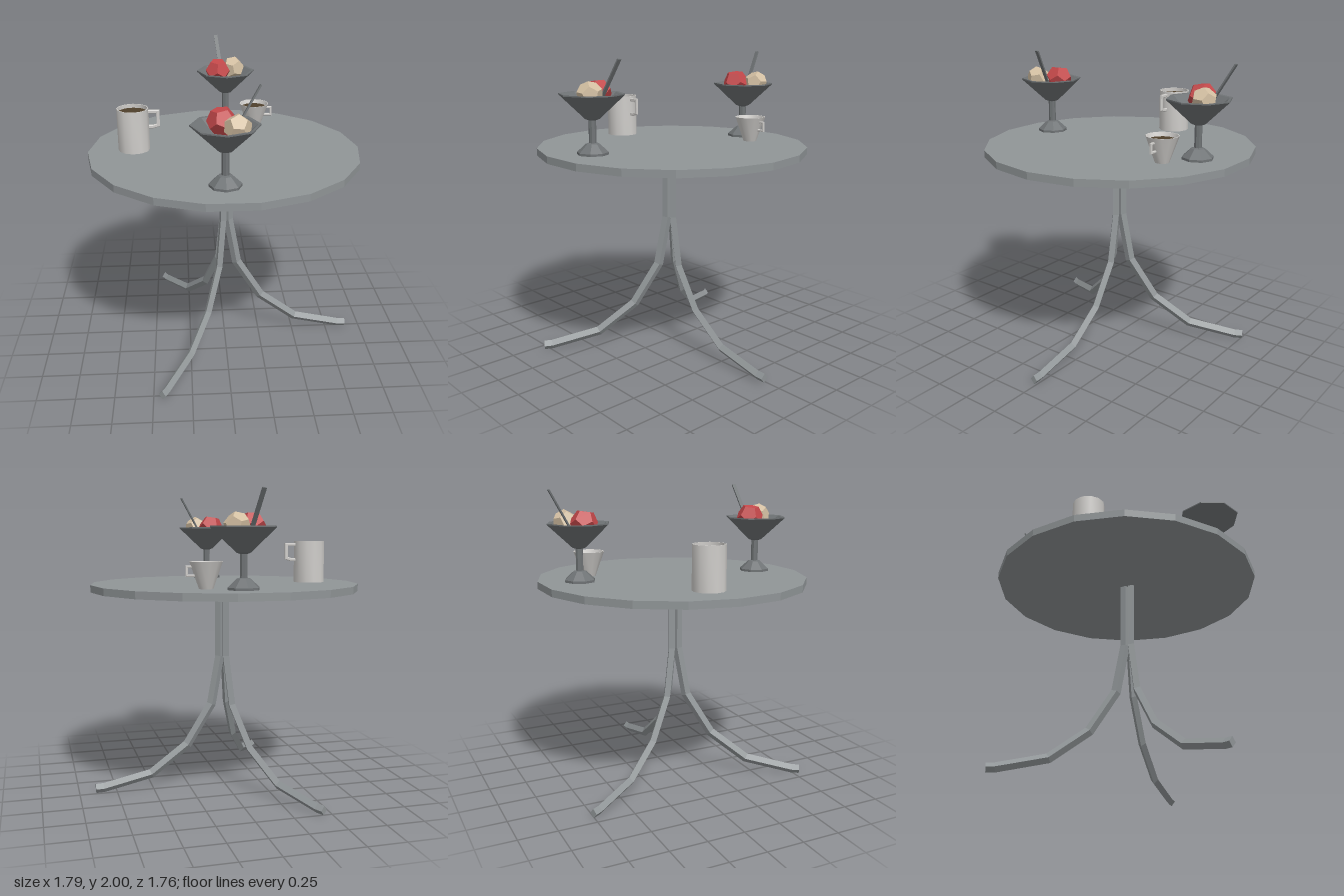
import * as THREE from 'three';
import { toCreasedNormals } from 'three/addons/utils/BufferGeometryUtils.js';

const mat = (name, color, extra = {}) => {
  const m = new THREE.MeshStandardMaterial({ color, ...extra });
  m.name = name;
  return m;
};

// Sweep a small section (u in plane, w along z) along a mitred path in the xy plane
function sweep(path, section) {
  const P = path.map(([x, y]) => new THREE.Vector2(x, y));
  const n = section.length, pos = [], idx = [];
  P.forEach((p, i) => {
    const a = P[Math.max(i - 1, 0)], b = P[Math.min(i + 1, P.length - 1)];
    const d0 = (i ? p.clone().sub(a) : b.clone().sub(p)).normalize();
    const d1 = (i < P.length - 1 ? b.clone().sub(p) : d0.clone()).normalize();
    const t = d0.clone().add(d1).normalize();
    const k = 1 / t.dot(d0);
    for (const [u, w] of section) pos.push(p.x - t.y * u * k, p.y + t.x * u * k, w);
  });
  for (let i = 0; i < P.length - 1; i++)
    for (let j = 0; j < n; j++) {
      const a = i * n + j, b = i * n + (j + 1) % n;
      idx.push(a, b, b + n, a, b + n, a + n);
    }
  const e = (P.length - 1) * n;
  for (let j = 1; j < n - 1; j++) idx.push(0, j + 1, j, e, e + j, e + j + 1);
  const g = new THREE.BufferGeometry();
  g.setAttribute('position', new THREE.Float32BufferAttribute(pos, 3));
  g.setIndex(idx);
  const flat = g.toNonIndexed();
  flat.computeVertexNormals();
  return flat;
}

const lathe = (pts, sides, crease) =>
  toCreasedNormals(new THREE.LatheGeometry(pts.map(p => new THREE.Vector2(...p)), sides), crease);

export function createModel() {
  const model = new THREE.Group();
  const metal = mat('table grey', 0x909597);
  const glass = mat('goblet grey', 0x6f7375);
  const china = mat('china white', 0xcfcdca);
  const coffee = mat('coffee brown', 0x4f402c);
  const red = mat('berry red', 0xc4484a);
  const cream = mat('vanilla cream', 0xd3bfa2);
  const TOP = 1.41;

  const add = (parent, name, geo, material, x = 0, y = 0, z = 0) => {
    const m = new THREE.Mesh(geo, material);
    m.name = name;
    m.position.set(x, y, z);
    parent.add(m);
    return m;
  };

  // Table top: 18 sides with a corner on +x
  const topGeo = new THREE.CylinderGeometry(0.896, 0.896, 0.047, 18).rotateY(Math.PI / 2);
  add(model, 'tableTop', toCreasedNormals(topGeo, 0.1), metal, 0, TOP - 0.0235, 0);

  // Three bent legs of diamond section
  const legGeo = sweep(
    [[0.025, 1.37], [0.025, 0.91], [0.085, 0.575], [0.257, 0.298], [0.51, 0.109], [0.835, 0.037], [0.89, 0.035]],
    [[0.032, 0], [0, 0.026], [-0.032, 0], [0, -0.026]]);
  for (let i = 0; i < 3; i++)
    add(model, 'leg', legGeo, metal, 0.002, 0, 0.015).rotation.y = i * Math.PI * 2 / 3;

  // Ice cream goblets, the second turned a quarter
  const gobletGeo = lathe([[0, 0], [0.1, 0], [0.1, 0.015], [0.043, 0.067], [0.024, 0.072], [0.024, 0.212],
    [0.046, 0.22], [0.205, 0.368], [0.205, 0.376], [0.187, 0.374], [0.04, 0.255], [0, 0.25]], 8, 0.1);
  const scoop = r => new THREE.DodecahedronGeometry(r);
  function goblet(name, x, z, turn) {
    const g = new THREE.Group();
    g.name = name;
    g.position.set(x, TOP, z);
    g.rotation.y = turn;
    add(g, 'goblet', gobletGeo, glass);
    add(g, 'redScoop', scoop(0.09), red, -0.018, 0.376, -0.057).rotation.set(0.55, 0.3, 0);
    add(g, 'creamScoop', scoop(0.082), cream, 0.066, 0.376, 0.06).rotation.set(0.2, 0.5, 0.3);
    // Flat spoon stick leaning over the rim
    const a = new THREE.Vector3(0.02, 0.27, -0.015), b = new THREE.Vector3(0.204, 0.586, -0.06);
    const d = b.clone().sub(a), c = a.clone().add(b).multiplyScalar(0.5);
    add(g, 'stick', new THREE.BoxGeometry(0.01, d.length(), 0.026), glass, c.x, c.y, c.z)
      .quaternion.setFromUnitVectors(new THREE.Vector3(0, 1, 0), d.normalize());
    model.add(g);
  }
  goblet('frontGoblet', -0.03, 0.627, 0);
  goblet('backGoblet', 0.048, -0.632, Math.PI / 2);

  // Cups with a thin wall, a coffee surface and a squarish handle
  function cup(name, x, z, r0, r1, h, level, handle, t) {
    const g = new THREE.Group();
    g.name = name;
    g.position.set(x, TOP, z);
    const wall = 0.006;
    const rc = r0 + (r1 - r0) * level / h - wall;
    add(g, 'cupBody', lathe([[0, 0], [r0, 0], [r1, h], [r1 - wall, h], [r0 - wall, 0.01], [0, 0.01]], 12, 0.7), china);
    add(g, 'coffee', new THREE.CircleGeometry(rc + 0.001, 12).rotateX(-Math.PI / 2), coffee, 0, level, 0);
    add(g, 'handle', sweep(handle, [[t, 0.005], [t * 0.6, 0.008], [-t * 0.6, 0.008], [-t, 0.005],
      [-t, -0.005], [-t * 0.6, -0.008], [t * 0.6, -0.008], [t, -0.005]]), china);
    model.add(g);
  }
  cup('mug', -0.594, -0.041, 0.104, 0.104, 0.28, 0.255,
    [[0.098, 0.256], [0.164, 0.256], [0.164, 0.164], [0.13, 0.154], [0.098, 0.154]], 0.011);
  cup('smallCup', 0.245, -0.501, 0.045, 0.104, 0.165, 0.14,
    [[0.088, 0.134], [0.12, 0.134], [0.12, 0.08], [0.07, 0.08]], 0.007);

  return model;
}
